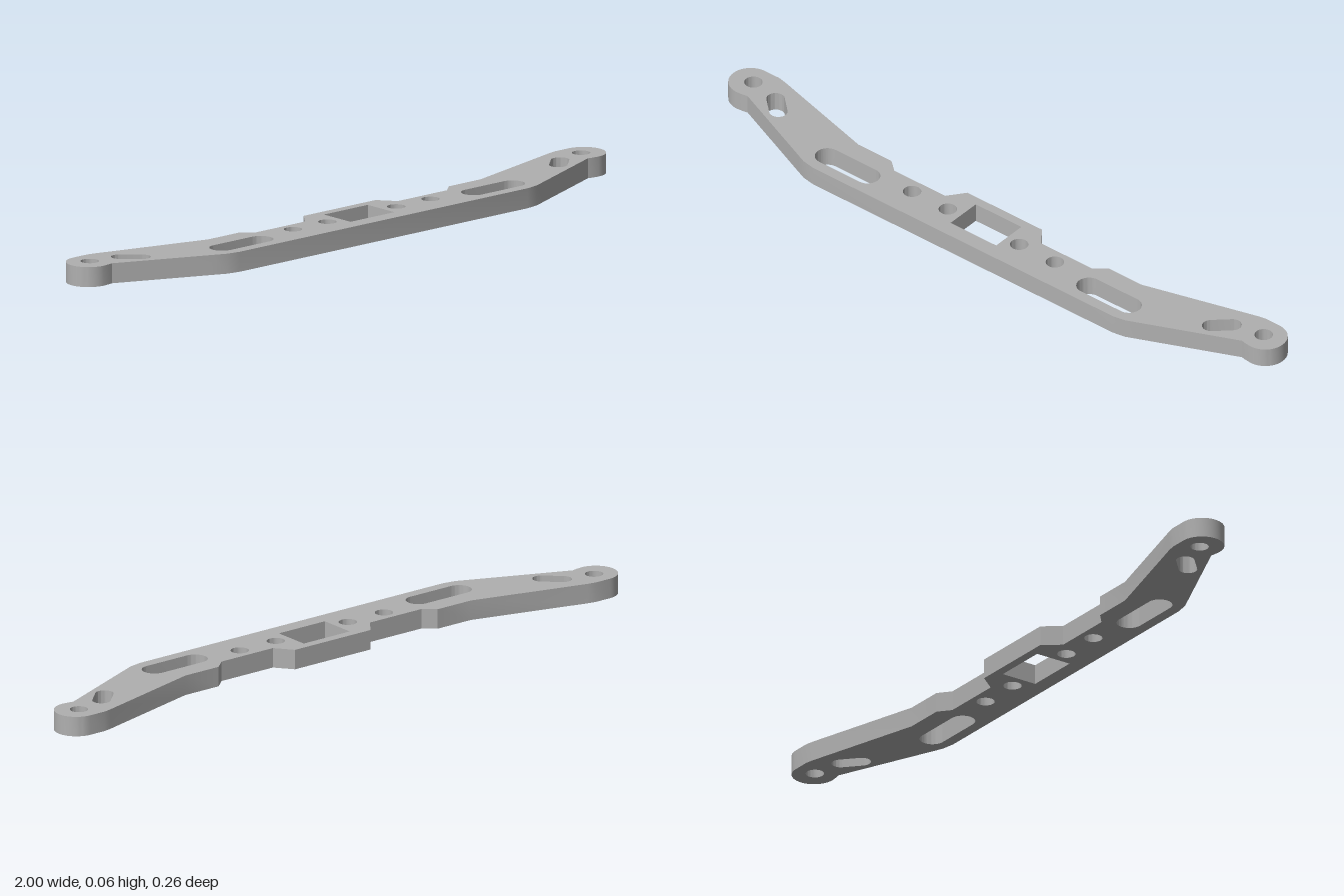
import * as THREE from 'three';
import { toCreasedNormals } from 'three/addons/utils/BufferGeometryUtils.js';

const THICKNESS = 0.058;

// Slot between two end centres; coordinates are plan x and z (shape y = -z)
function slot(x1, z1, x2, z2, r) {
  const path = new THREE.Path();
  const a = Math.atan2(z1 - z2, x2 - x1);
  path.absarc(x2, -z2, r, a - Math.PI / 2, a + Math.PI / 2, false);
  path.absarc(x1, -z1, r, a + Math.PI / 2, a + Math.PI * 1.5, false);
  path.closePath();
  return path;
}

function roundHole(x, z, r) {
  const path = new THREE.Path();
  path.absarc(x, -z, r, 0, Math.PI * 2, false);
  return path;
}

export function createModel() {
  const metal = new THREE.MeshStandardMaterial({ color: 0xb0b0b0 });
  metal.name = 'grey metal';

  // Right half of the outline, from the front edge round to the back edge
  const half = [[0.545, 0.132], [0.585, 0.125], [0.625, 0.108], [0.9, -0.01], [0.915, -0.007]];
  const tip = { x: 0.9365, z: -0.0685, r: 0.0635 };
  for (let i = 0; i <= 24; i++) {
    const t = Math.PI / 2 - (i / 24) * Math.PI;
    half.push([tip.x + tip.r * Math.cos(t), tip.z + tip.r * Math.sin(t)]);
  }
  half.push([0.885, -0.132], [0.86, -0.127], [0.515, -0.033], [0.395, -0.033],
    [0.36, -0.003], [0.175, -0.003], [0.136, -0.054]);
  const mirrored = half.map(([x, z]) => [-x, z]).reverse();
  const outline = [...half, ...mirrored].map(([x, z]) => new THREE.Vector2(x, -z));
  const shape = new THREE.Shape(outline);

  // Central rectangular window
  shape.holes.push(new THREE.Path([[-0.083, 0.027], [0.083, 0.027], [0.083, -0.085], [-0.083, -0.085]]
    .map(([x, y]) => new THREE.Vector2(x, y))));

  // Mirrored bolt holes and slots
  for (const s of [-1, 1]) {
    shape.holes.push(
      roundHole(s * 0.13, 0.04, 0.026),
      roundHole(s * 0.26, 0.04, 0.026),
      roundHole(s * 0.929, -0.071, 0.026),
      slot(s * 0.403, 0.063, s * 0.549, 0.063, 0.036),
      slot(s * 0.788, -0.01, s * 0.832, -0.051, 0.026),
    );
  }

  const extruded = new THREE.ExtrudeGeometry(shape, { depth: THICKNESS, bevelEnabled: false, curveSegments: 16 });
  extruded.rotateX(-Math.PI / 2);
  const bar = new THREE.Mesh(toCreasedNormals(extruded, 0.5), metal);
  bar.name = 'mountingBar';

  const group = new THREE.Group();
  group.name = 'slottedBar';
  group.add(bar);
  return group;
}
